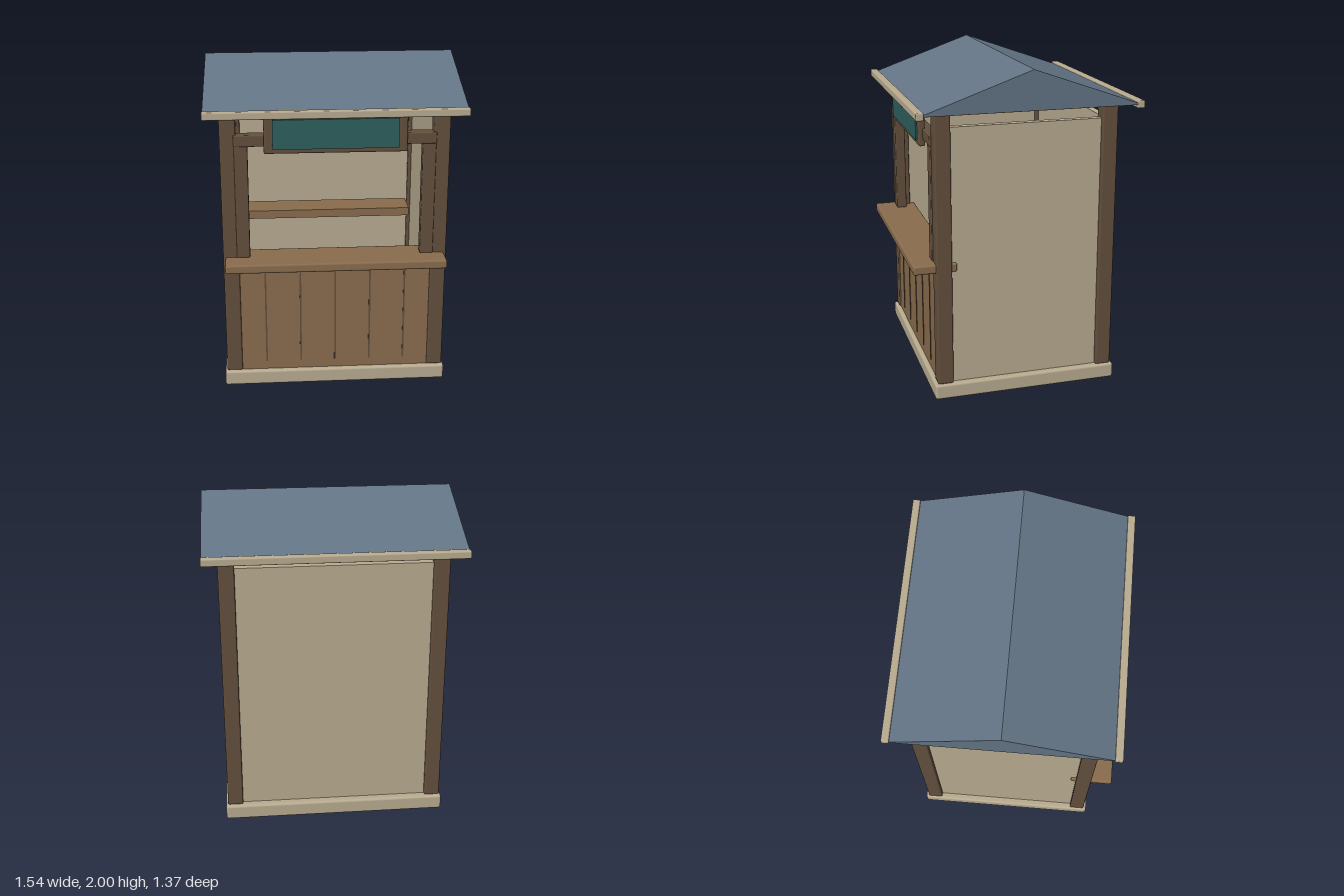
import * as THREE from 'three';
import { RoundedBoxGeometry } from 'three/addons/geometries/RoundedBoxGeometry.js';

function material(name, color) {
  const m = new THREE.MeshStandardMaterial({ color });
  m.name = name;
  return m;
}

export function createModel() {
  const model = new THREE.Group();
  model.name = 'marketKiosk';
  const cream = material('cream', 0xb8ab90);
  const darkWood = material('darkWood', 0x624f3d);
  const wood = material('wood', 0x896c4d);
  const slate = material('slateBlue', 0x637485);
  const teal = material('teal', 0x2d5f5c);

  // Box from its min/max extents on each axis; bevel 0 gives sharp edges
  function box(name, mat, [x0, x1], [y0, y1], [z0, z1], bevel = 0) {
    const w = x1 - x0, h = y1 - y0, d = z1 - z0;
    const geo = bevel ? new RoundedBoxGeometry(w, h, d, 2, bevel) : new THREE.BoxGeometry(w, h, d);
    const mesh = new THREE.Mesh(geo, mat);
    mesh.name = name;
    mesh.position.set((x0 + x1) / 2, (y0 + y1) / 2, (z0 + z1) / 2);
    model.add(mesh);
    return mesh;
  }

  // Plinth
  box('base', cream, [-0.69, 0.69], [0, 0.095], [-0.575, 0.572], 0.015);

  // Corner posts, side walls and window jambs, mirrored left and right
  for (const s of [-1, 1]) {
    const side = s > 0 ? 'left' : 'right';
    const span = (a, b) => (s > 0 ? [a, b] : [-b, -a]);
    box(side + 'FrontPost', darkWood, span(0.582, 0.678), [0.095, 1.755], [0.457, 0.553], 0.01);
    box(side + 'BackPost', darkWood, span(0.582, 0.678), [0.095, 1.755], [-0.556, -0.46], 0.01);
    box(side + 'Wall', cream, span(0.605, 0.65), [0.095, 1.675], [-0.5, 0.5]);
    box(side + 'Jamb', darkWood, span(0.515, 0.595), [0.86, 1.6], [0.495, 0.56], 0.008);
  }
  box('backWall', cream, [-0.63, 0.63], [0.095, 1.675], [-0.527, -0.482]);

  // Front panel with plank grooves
  box('frontPanel', wood, [-0.6, 0.6], [0.095, 0.82], [0.5, 0.543]);
  for (let i = -2; i <= 2; i++) {
    const x = i * 0.214;
    box('plankGroove', darkWood, [x - 0.005, x + 0.005], [0.15, 0.78], [0.541, 0.547]);
  }

  // Counter and inner shelf
  box('counter', wood, [-0.664, 0.664], [0.807, 0.862], [0.423, 0.686], 0.012);
  box('innerShelf', wood, [-0.555, 0.555], [0.832, 0.887], [-0.39, -0.19]);

  // Window head and sign board
  box('windowHead', darkWood, [-0.597, 0.597], [1.555, 1.625], [0.495, 0.564], 0.008);
  box('signBoard', darkWood, [-0.42, 0.42], [1.517, 1.748], [0.55, 0.588], 0.01);
  box('signPanel', teal, [-0.37, 0.37], [1.545, 1.722], [0.588, 0.597]);

  // Gable roof: triangle extruded along x
  const roofZ = -0.005;
  const gable = new THREE.Shape([
    new THREE.Vector2(-0.655, 1.769),
    new THREE.Vector2(0.655, 1.769),
    new THREE.Vector2(0, 2),
  ]);
  const roofGeo = new THREE.ExtrudeGeometry(gable, { depth: 1.532, bevelEnabled: false });
  roofGeo.translate(0, 0, -0.766);
  roofGeo.rotateY(Math.PI / 2);
  const roof = new THREE.Mesh(roofGeo, slate);
  roof.name = 'roof';
  roof.position.z = roofZ;
  model.add(roof);
  box('ceiling', darkWood, [-0.765, 0.765], [1.765, 1.77], [roofZ - 0.65, roofZ + 0.65]);

  // Eave trims
  for (const s of [-1, 1]) {
    const z = roofZ + s * 0.655;
    box(s > 0 ? 'frontEaveTrim' : 'backEaveTrim', cream,
      [-0.768, 0.768], [1.744, 1.79], [z - 0.023, z + 0.023], 0.008);
  }

  return model;
}
